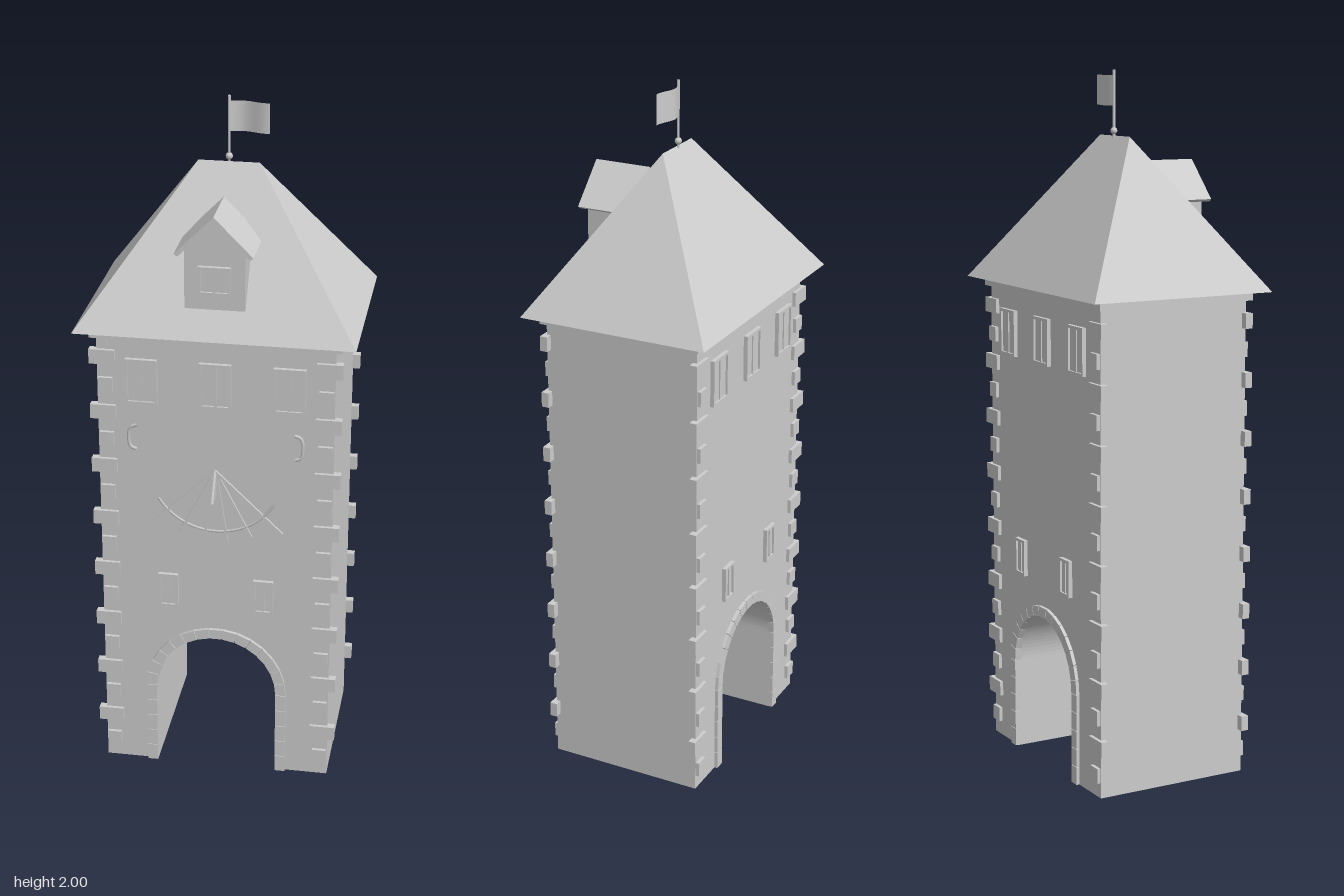
import * as THREE from 'three';

const stone = new THREE.MeshStandardMaterial({ color: 0xcccccc });
stone.name = 'pale grey stone';
stone.side = THREE.DoubleSide;

const ZC = -0.005;   // middle of the tower in depth
const HALF = 0.231;  // half depth of the walls
const ARCH = { r: 0.177, spring: 0.265, w: 0.03 };

function add(parent, name, geometry, x = 0, y = 0, z = 0) {
  const mesh = new THREE.Mesh(geometry, stone);
  mesh.name = name;
  mesh.position.set(x, y, z);
  parent.add(mesh);
  return mesh;
}

function box(parent, name, w, h, d, x, y, z) {
  return add(parent, name, new THREE.BoxGeometry(w, h, d), x, y, z);
}

function polygon(points) {
  return new THREE.Shape(points.map(([x, y]) => new THREE.Vector2(x, y)));
}

function extrude(shape, depth, curveSegments = 24) {
  return new THREE.ExtrudeGeometry(shape, { depth, bevelEnabled: false, curveSegments });
}

// Raised frame, central bar and two slightly sunken panes
function makeWindow(parent, name, x, y, w, h, z) {
  const g = new THREE.Group();
  g.name = name;
  g.position.set(x, y, z);
  parent.add(g);
  const t = 0.008, d = 0.012;
  for (const s of [-1, 1]) {
    box(g, 'frameSide', t, h, d, s * (w - t) / 2, 0, d / 2);
    box(g, 'frameRail', w - 2 * t, t, d, 0, s * (h - t) / 2, d / 2);
    box(g, 'pane', w / 2 - t * 1.5, h - 2 * t, 0.006, s * (w / 4 - t / 4), 0, 0.003);
  }
  box(g, 'centreBar', t, h - 2 * t, d * 0.8, 0, 0, d * 0.4);
}

// Stone blocks around the gateway
function makeArchSurround(parent) {
  const { r, spring, w } = ARCH, blocks = 5, wedges = 15, gap = 0.0015;
  const h = spring / blocks;
  for (const s of [-1, 1]) for (let i = 0; i < blocks; i++) {
    box(parent, 'jambBlock', w, h - gap, 0.02, s * (r + w / 2), (i + 0.5) * h, HALF);
  }
  for (let i = 0; i < wedges; i++) {
    const a = i * Math.PI / wedges + 0.004, b = (i + 1) * Math.PI / wedges - 0.004;
    const p = (rad, t) => [rad * Math.cos(t), spring + rad * Math.sin(t)];
    const wedge = polygon([p(r, a), p(r + w, a), p(r + w, b), p(r, b)]);
    add(parent, 'archBlock', extrude(wedge, 0.02), 0, 0, HALF - 0.01);
  }
}

// Everything repeated on the front and back walls
function makeFacade(name, turn) {
  const g = new THREE.Group();
  g.name = name;
  g.position.z = ZC;
  g.rotation.y = turn;
  for (const x of [-0.207, 0, 0.207]) makeWindow(g, 'upperWindow', x, 1.247, 0.09, 0.134, HALF);
  for (const x of [-0.138, 0.138]) makeWindow(g, 'lowerWindow', x, 0.592, 0.058, 0.106, HALF);
  makeArchSurround(g);
  for (let i = 0; i < 16; i++) for (const s of [-1, 1]) {
    const outer = i % 2 ? 0.353 : 0.329, inner = i % 2 ? 0.28 : 0.288;
    box(g, 'cornerStone', outer - inner, 0.043, 0.022, s * (outer + inner) / 2, 0.065 + i * 0.0833, HALF - 0.001);
  }
  return g;
}

// Fan of hour lines, arc, gnomon and side scrolls
function makeSundial() {
  const g = new THREE.Group();
  g.name = 'sundial';
  g.position.set(0, 0.985, ZC + HALF + 0.003);
  for (const deg of [-46, -27, -8.5, 8.5, 27, 46]) {
    const a = THREE.MathUtils.degToRad(deg), len = deg * deg > 2000 ? 0.265 : 0.225;
    const bar = box(g, 'hourLine', 0.007, len, 0.008, Math.sin(a) * len / 2, -Math.cos(a) * len / 2, 0);
    bar.rotation.z = a;
  }
  const arc = new THREE.TorusGeometry(0.19, 0.004, 6, 24, Math.PI * 0.67);
  arc.rotateZ(Math.PI * 1.165);
  add(g, 'hourArc', arc);
  const gnomon = extrude(polygon([[0, 0.005], [0, -0.075], [0.056, -0.075]]), 0.006);
  gnomon.rotateY(-Math.PI / 2);
  add(g, 'gnomon', gnomon, 0.003, 0, 0);
  for (const s of [-1, 1]) {
    const curve = new THREE.CatmullRomCurve3([
      [0.222, 0.128], [0.24, 0.12], [0.246, 0.09], [0.24, 0.06], [0.224, 0.053],
    ].map(([x, y]) => new THREE.Vector3(s * x, y, 0)));
    add(g, 'scroll', new THREE.TubeGeometry(curve, 14, 0.005, 6));
  }
  return g;
}

// Hipped roof with a short ridge
function makeRoof() {
  const geo = new THREE.BoxGeometry(0.78, 0.42, 0.56);
  const pos = geo.attributes.position;
  for (let i = 0; i < pos.count; i++) {
    if (pos.getY(i) > 0) {
      pos.setX(i, Math.sign(pos.getX(i)) * 0.085);
      pos.setZ(i, 0);
    }
  }
  geo.computeVertexNormals();
  return geo;
}

function makeDormer() {
  const g = new THREE.Group();
  g.name = 'dormer';
  const front = polygon([[-0.083, 1.475], [0.083, 1.475], [0.083, 1.645], [0, 1.728], [-0.083, 1.645]]);
  add(g, 'dormerWalls', extrude(front, 0.145), 0, 0, 0.088);
  const cap = polygon([[-0.108, 1.635], [-0.098, 1.628], [0, 1.727], [0.098, 1.628], [0.108, 1.635], [0, 1.744]]);
  add(g, 'dormerRoof', extrude(cap, 0.169), 0, 0, 0.081);
  makeWindow(g, 'dormerWindow', 0, 1.56, 0.09, 0.08, 0.233);
  return g;
}

function makeFlag() {
  const g = new THREE.Group();
  g.name = 'flag';
  g.position.z = ZC - 0.003;
  add(g, 'pole', new THREE.CylinderGeometry(0.004, 0.004, 0.19, 10), 0, 1.905, 0);
  add(g, 'poleBall', new THREE.SphereGeometry(0.01, 14, 10), 0, 1.83, 0);
  const cloth = new THREE.PlaneGeometry(0.11, 0.085, 16, 1);
  const pos = cloth.attributes.position;
  for (let i = 0; i < pos.count; i++) {
    const u = pos.getX(i) / 0.11 + 0.5;
    pos.setZ(i, -0.008 * Math.sin(u * Math.PI * 1.6));
  }
  cloth.computeVertexNormals();
  add(g, 'cloth', cloth, 0.057, 1.942, 0);
  return g;
}

export function createModel() {
  const model = new THREE.Group();
  model.name = 'gateTower';

  // Walls with the passage running through
  const { r, spring } = ARCH;
  const outline = polygon([[-r, 0], [-0.332, 0], [-0.332, 1.375], [0.332, 1.375], [0.332, 0], [r, 0], [r, spring]]);
  outline.absarc(0, spring, r, 0, Math.PI, false);
  outline.lineTo(-r, 0);
  add(model, 'walls', extrude(outline, HALF * 2), 0, 0, ZC - HALF);

  model.add(makeFacade('frontFacade', 0), makeFacade('backFacade', Math.PI));
  box(model, 'cornice', 0.7, 0.026, 0.484, 0, 1.384, ZC);
  add(model, 'roof', makeRoof(), 0, 1.606, ZC);
  model.add(makeSundial(), makeDormer(), makeFlag());
  return model;
}
